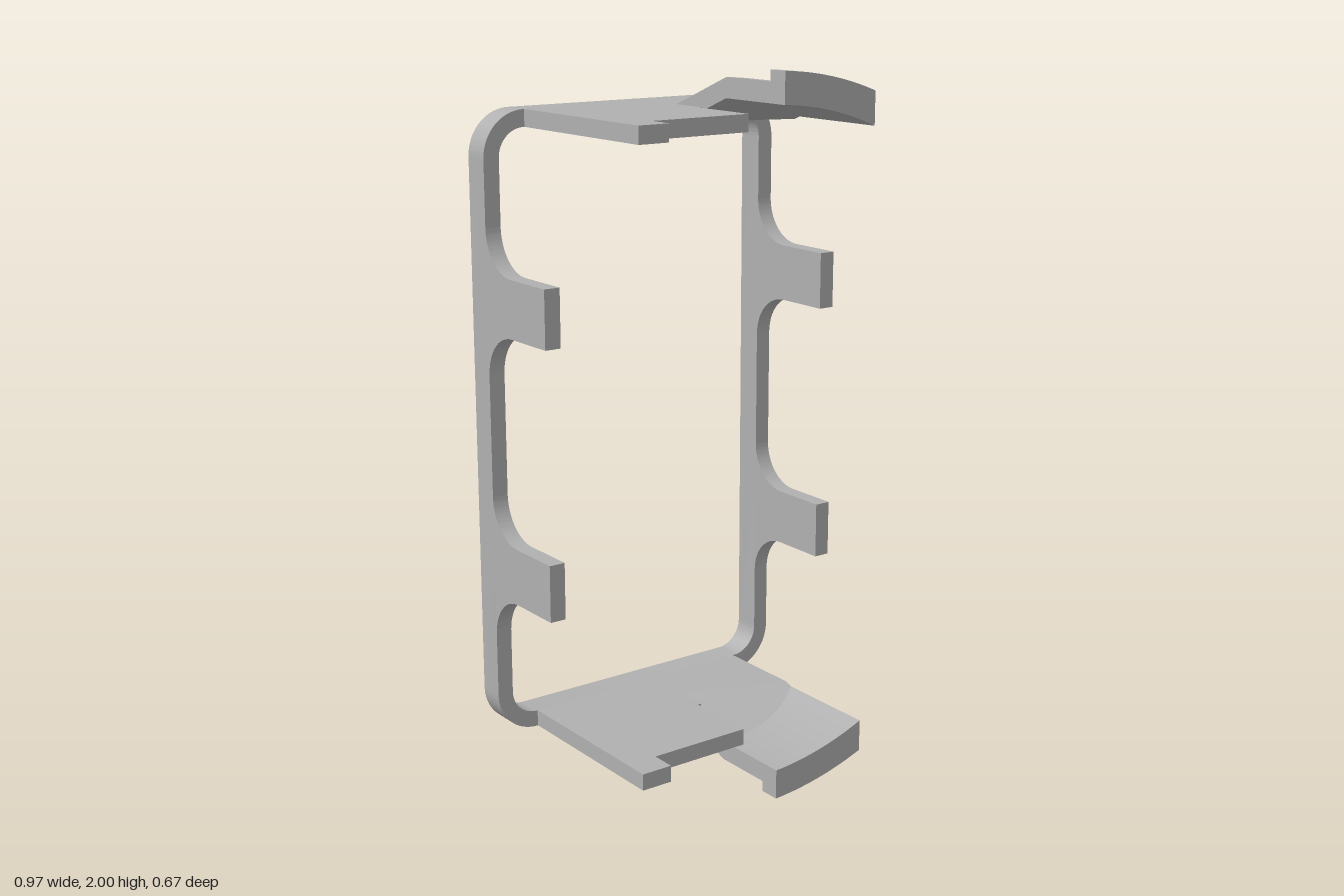
import * as THREE from 'three';
import { toCreasedNormals } from 'three/addons/utils/BufferGeometryUtils.js';

const grey = new THREE.MeshStandardMaterial({ color: 0xb0b0b0 });
grey.name = 'plain grey';

const W = 0.485, H = 0.882, WALL = 0.047;      // half width, half height, wall thickness
const BACK = -0.335, RIM = -0.257;             // depth range of the frame
const MID = 1;                                 // height of the mirror plane

function extrude(shape, depth) {
  return new THREE.ExtrudeGeometry(shape, { depth, bevelEnabled: false, curveSegments: 16 });
}

function addMesh(group, geometry, name) {
  const mesh = new THREE.Mesh(geometry, grey);
  mesh.name = name;
  group.add(mesh);
  return mesh;
}

function roundedRect(path, w, h, r) {
  path.absarc(w - r, h - r, r, 0, Math.PI / 2);
  path.absarc(-w + r, h - r, r, Math.PI / 2, Math.PI);
  path.absarc(-w + r, -h + r, r, Math.PI, Math.PI * 1.5);
  path.absarc(w - r, -h + r, r, Math.PI * 1.5, Math.PI * 2);
  path.closePath();
  return path;
}

// Side tab with a fillet above and below, drawn in (z, y)
function tabGeometry() {
  const r = 0.122, h = 0.08, tip = 0.03, s = new THREE.Shape();
  s.moveTo(RIM, h + r);
  s.absarc(RIM + r, h + r, r, Math.PI, Math.PI * 1.5, false);
  s.lineTo(tip, h);
  s.lineTo(tip, -h);
  s.lineTo(RIM + r, -h);
  s.absarc(RIM + r, -h - r, r, Math.PI / 2, Math.PI, false);
  s.closePath();
  const g = extrude(s, WALL);
  g.rotateY(-Math.PI / 2);
  g.translate(WALL / 2, 0, 0);
  return toCreasedNormals(g, 0.5);
}

// Flat plate outline in (x, z), thickness in y
function plateGeometry() {
  const pts = [[-0.357, RIM], [0.05, RIM], [0.05, -0.015], [0.04, -0.015],
    [0.04, 0.2], [-0.265, 0.2], [-0.265, 0.272], [-0.357, 0.272]];
  const g = extrude(new THREE.Shape(pts.map(p => new THREE.Vector2(...p))), WALL);
  g.rotateX(Math.PI / 2);
  g.translate(0, WALL / 2, 0);
  return g;
}

// Closed (z, y) section of the ramped clip at a given x
function clipSection(x) {
  const arc = r => Math.sqrt(r * r - x * x);
  const top = H, bottom = H - WALL, slope = 0.39;
  const start = -0.13 + 0.377 * (x - 0.05), under = start + 0.02;
  return [
    [RIM, top], [start, top],
    [start + (arc(0.97) - top) / slope, arc(0.97)],
    [0.275, arc(0.97)], [0.275, arc(1)], [0.335, arc(1)], [0.335, arc(0.915)],
    [under + (arc(0.915) - bottom) / slope, arc(0.915)],
    [under, bottom], [RIM, bottom],
  ];
}

// Loft the sections from x0 to x1; side = 1 for the top, -1 for the bottom
function clipGeometry(side) {
  const x0 = 0.05, x1 = 0.355, steps = 20, pos = [], sections = [];
  for (let i = 0; i <= steps; i++) {
    const x = x0 + (x1 - x0) * i / steps;
    sections.push(clipSection(x).map(([z, y]) => [x, MID + side * y, z]));
  }
  const tri = (a, b, c) => side > 0 ? pos.push(...a, ...b, ...c) : pos.push(...a, ...c, ...b);
  const quad = (a, b, c, d) => { tri(a, b, c); tri(a, c, d); };
  const n = sections[0].length;
  for (let i = 0; i < steps; i++) {
    const p = sections[i], q = sections[i + 1];
    for (let j = 0; j < n; j++) {
      const k = (j + 1) % n;
      quad(p[j], p[k], q[k], q[j]);
    }
  }
  const first = sections[0], last = sections[steps];
  for (let i = 0; i < 4; i++) {
    quad(last[i], last[i + 1], last[8 - i], last[9 - i]);
    quad(first[9 - i], first[8 - i], first[i + 1], first[i]);
  }
  const g = new THREE.BufferGeometry();
  g.setAttribute('position', new THREE.Float32BufferAttribute(pos, 3));
  return toCreasedNormals(g, 0.2);
}

export function createModel() {
  const model = new THREE.Group();
  model.name = 'clipFrame';

  // Rounded rectangular frame
  const outline = roundedRect(new THREE.Shape(), W, H, 0.125);
  outline.holes.push(roundedRect(new THREE.Path(), W - WALL, H - WALL, 0.078));
  const frame = addMesh(model, toCreasedNormals(extrude(outline, RIM - BACK), 0.5), 'frame');
  frame.position.set(0, MID, BACK);

  // Two tabs on each side
  const tab = tabGeometry();
  for (const sx of [-1, 1]) {
    for (const y of [0.63, 1.375]) {
      const mesh = addMesh(model, tab, sx > 0 ? 'leftTab' : 'rightTab');
      mesh.position.set(sx * (W - WALL / 2), y, 0);
    }
  }

  // Plate and ramped clip at the top and the bottom
  const plate = plateGeometry();
  for (const side of [1, -1]) {
    const end = side > 0 ? 'top' : 'bottom';
    addMesh(model, plate, end + 'Plate').position.y = MID + side * (H - WALL / 2);
    addMesh(model, clipGeometry(side), end + 'Clip');
  }
  return model;
}
